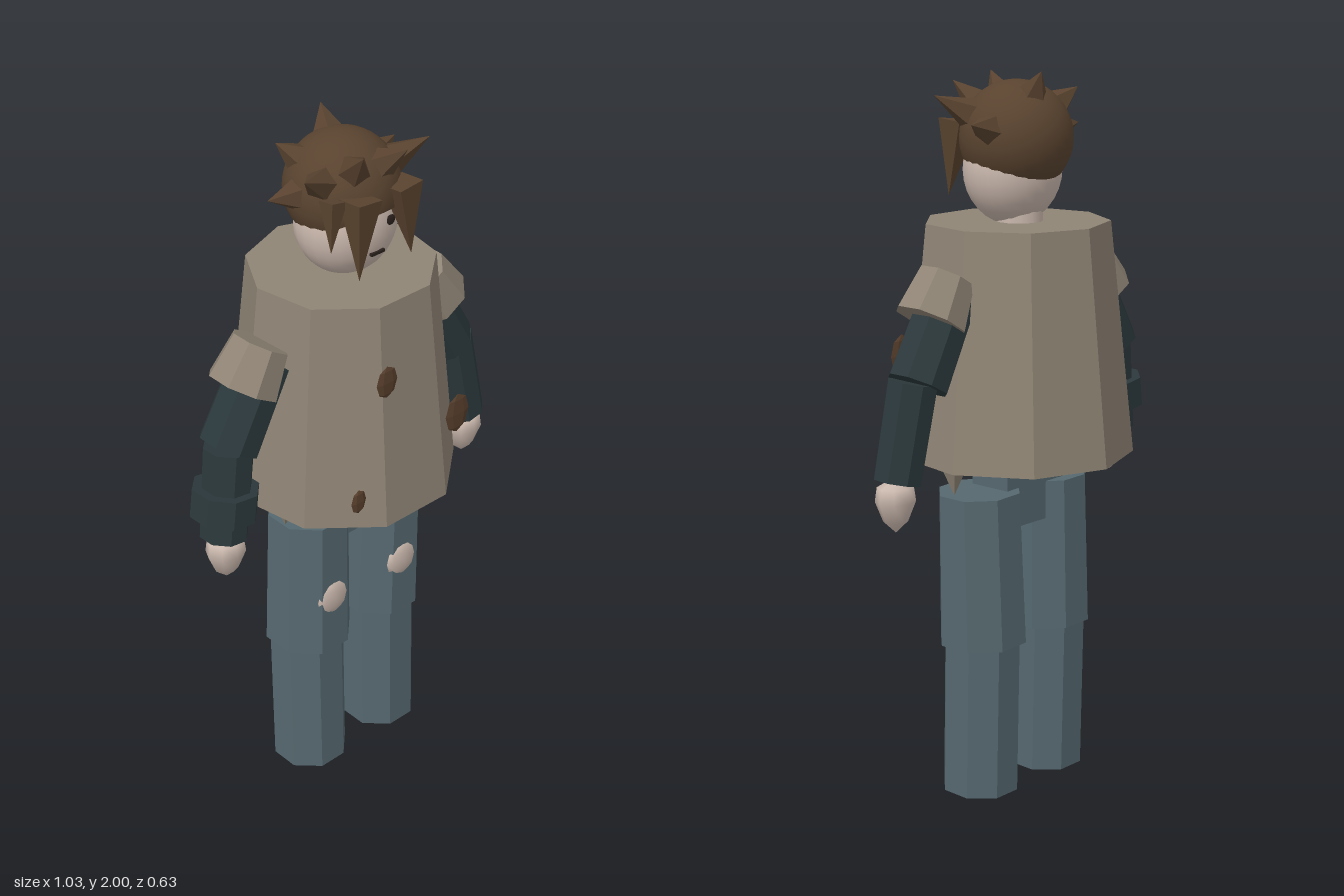
import * as THREE from 'three';

const V = (x, y, z) => new THREE.Vector3(x, y, z);
const UP = V(0, 1, 0);

function mat(name, color, flat = true) {
  const m = new THREE.MeshStandardMaterial({ color, flatShading: flat });
  m.name = name;
  return m;
}

export function createModel() {
  const root = new THREE.Group();
  root.name = 'raggedFigure';

  const cloth = mat('tunic cloth', 0x8f8475);
  const denim = mat('trousers blue', 0x55686f);
  const sleeve = mat('dark sleeve', 0x2b383b);
  const skin = mat('skin', 0xcab8ad, false);
  const hair = mat('hair brown', 0x59432f, false);
  hair.side = THREE.DoubleSide;
  const spike = mat('hair spike brown', 0x59432f);
  const patchMat = mat('patch brown', 0x59402d);
  const dark = mat('face marks', 0x2a211d);

  const add = (name, geo, material, pos = [0, 0, 0], parent = root) => {
    const m = new THREE.Mesh(geo, material);
    m.name = name;
    m.position.set(...pos);
    parent.add(m);
    return m;
  };

  // Tapered prism running from point a (radius ra) to point b (radius rb)
  const limb = (name, a, b, ra, rb, material, sides = 8, parent = root) => {
    const axis = a.clone().sub(b);
    const geo = new THREE.CylinderGeometry(ra, rb, axis.length(), sides, 1, false, Math.PI / sides);
    const mid = a.clone().add(b).multiplyScalar(0.5);
    const m = add(name, geo, material, mid.toArray(), parent);
    m.quaternion.setFromUnitVectors(UP, axis.normalize());
    return m;
  };

  const ball = (name, pos, scale, material, w = 24, h = 16) => {
    const m = add(name, new THREE.SphereGeometry(1, w, h), material, pos);
    m.scale.set(...scale);
    return m;
  };

  // Nine-sided tunic with a ragged hem
  add('tunic', new THREE.CylinderGeometry(0.255, 0.322, 0.64, 9, 1, false, Math.PI / 9), cloth, [0.008, 1.277, 0.006]);
  for (const x of [-0.22, -0.07, 0.08, 0.235]) {
    limb('hemTatter', V(x, 0.97, 0.03), V(x, 0.87, 0.03), 0.045, 0.001, cloth, 4);
  }

  // Stains on the tunic front
  for (const [x, y, rx, ry] of [[-0.105, 1.415, 0.036, 0.047], [0.155, 1.205, 0.043, 0.06], [-0.2, 1.085, 0.026, 0.036]]) {
    ball('tunicPatch', [x, y, 0.303], [rx, ry, 0.007], patchMat, 6, 4);
  }

  // Hips and legs
  add('hips', new THREE.BoxGeometry(0.23, 0.15, 0.13), denim, [0.005, 0.837, 0.005]);
  const legs = [
    { top: -0.12, knee: -0.125, shin: -0.13, foot: -0.13, patch: -0.125 },
    { top: 0.155, knee: 0.142, shin: 0.145, foot: 0.145, patch: 0.138 },
  ];
  for (const l of legs) {
    limb('upperLeg', V(l.top, 0.87, 0.012), V(l.knee, 0.44, 0.012), 0.117, 0.126, denim);
    limb('lowerLeg', V(l.shin, 0.46, 0.012), V(l.foot, 0.003, 0.022), 0.11, 0.11, denim);
    ball('kneeHole', [l.patch, 0.62, 0.118], [0.055, 0.055, 0.017], skin, 8, 6);
  }

  // Arms, mirrored apart from a slightly different forearm pose
  for (const s of [1, -1]) {
    const wrist = s > 0 ? V(0.452, 0.95, 0.03) : V(-0.435, 0.945, 0.03);
    const elbow = V(s * 0.4, 1.21, 0.02);
    limb('shoulderSleeve', V(s * 0.276, 1.472, 0.012), V(s * 0.34, 1.365, 0.012), 0.08, 0.1, cloth);
    limb('upperArm', V(s * 0.272, 1.42, 0.01), V(s * 0.392, 1.203, 0.01), 0.08, 0.085, sleeve);
    limb('forearm', elbow, wrist, 0.07, 0.067, sleeve);
    if (s < 0) limb('wristCuff', V(-0.419, 1.092, 0.025), V(-0.431, 1.01, 0.027), 0.093, 0.093, sleeve);
    // Hand with tapering fingers
    const hand = new THREE.LatheGeometry(
      [[0.001, -0.075], [0.035, -0.045], [0.058, 0.01], [0.052, 0.05], [0.001, 0.075]].map(p => new THREE.Vector2(...p)), 8);
    add('hand', hand, skin, [wrist.x + s * 0.001, 0.886, 0.037]).scale.z = 0.88;
  }

  // Head, neck and face
  limb('neck', V(0.01, 1.66, -0.005), V(0.01, 1.56, -0.005), 0.065, 0.065, skin, 12);
  ball('head', [0.01, 1.735, 0.018], [0.142, 0.15, 0.128], skin);
  add('mouth', new THREE.BoxGeometry(0.045, 0.008, 0.009), dark, [0.01, 1.68, 0.139]);
  for (const s of [1, -1]) ball('eye', [0.01 + s * 0.045, 1.757, 0.138], [0.017, 0.015, 0.005], dark, 10, 6);

  // Hair cap tilted backward
  const centre = V(0.01, 1.82, 0.005);
  const cap = add('hairCap', new THREE.SphereGeometry(0.154, 28, 16, 0, Math.PI * 2, 0, Math.PI * 0.7), hair, centre.toArray());
  cap.rotation.x = -0.5;

  // Spiky tufts, each given by its tip
  const tips = [
    [0.04, 2.0, -0.11], [-0.075, 1.985, 0.175], [0.07, 1.965, 0.18], [-0.2, 1.935, 0.1],
    [-0.217, 1.845, -0.02], [0.205, 1.935, 0.12], [0.235, 1.87, -0.04], [-0.13, 1.95, -0.09],
  ];
  for (const t of tips) {
    const tip = V(...t);
    const base = tip.clone().sub(centre).setLength(0.125).add(centre);
    limb('hairSpike', tip, base, 0.0005, 0.052, spike, 5);
  }

  // Long pointed fringe over the face
  for (const [x, tx, ty, r] of [[-0.06, -0.08, 1.645, 0.055], [0.08, 0.1, 1.66, 0.055], [-0.115, -0.14, 1.73, 0.036]]) {
    const z = r > 0.05 ? 0.15 : 0.11;
    limb('fringeLock', V(x, 1.86, z), V(tx, ty, z + 0.02), r, 0.0005, spike, 4);
  }

  return root;
}
